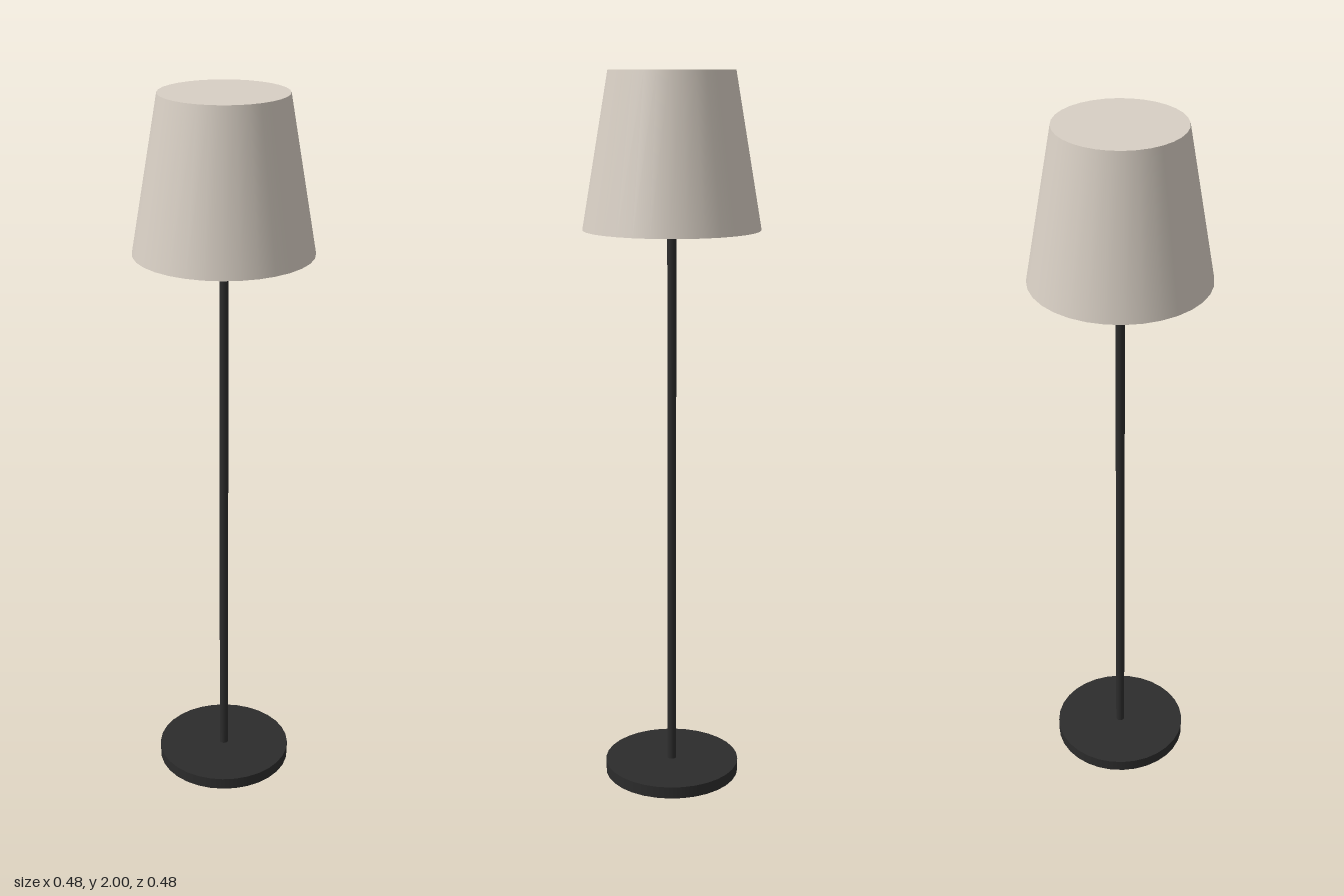
import * as THREE from 'three';

const fabric = new THREE.MeshStandardMaterial({ name: 'warm fabric', color: 0xd8cfc4 });
const metal = new THREE.MeshStandardMaterial({ name: 'dark metal', color: 0x2c2c2c });

// Upright round part spanning y0 to y1
function roundPart(name, rTop, rBottom, y0, y1, sides, material) {
  const mesh = new THREE.Mesh(new THREE.CylinderGeometry(rTop, rBottom, y1 - y0, sides), material);
  mesh.name = name;
  mesh.position.y = (y0 + y1) / 2;
  return mesh;
}

export function createModel() {
  const lamp = new THREE.Group();
  lamp.name = 'floorLamp';
  lamp.add(
    roundPart('base', 0.193, 0.193, 0, 0.034, 32, metal),
    roundPart('pole', 0.0125, 0.0125, 0.03, 1.59, 16, metal),
    // Closed, tapered shade
    roundPart('shade', 0.17, 0.242, 1.582, 2, 32, fabric),
  );
  return lamp;
}
